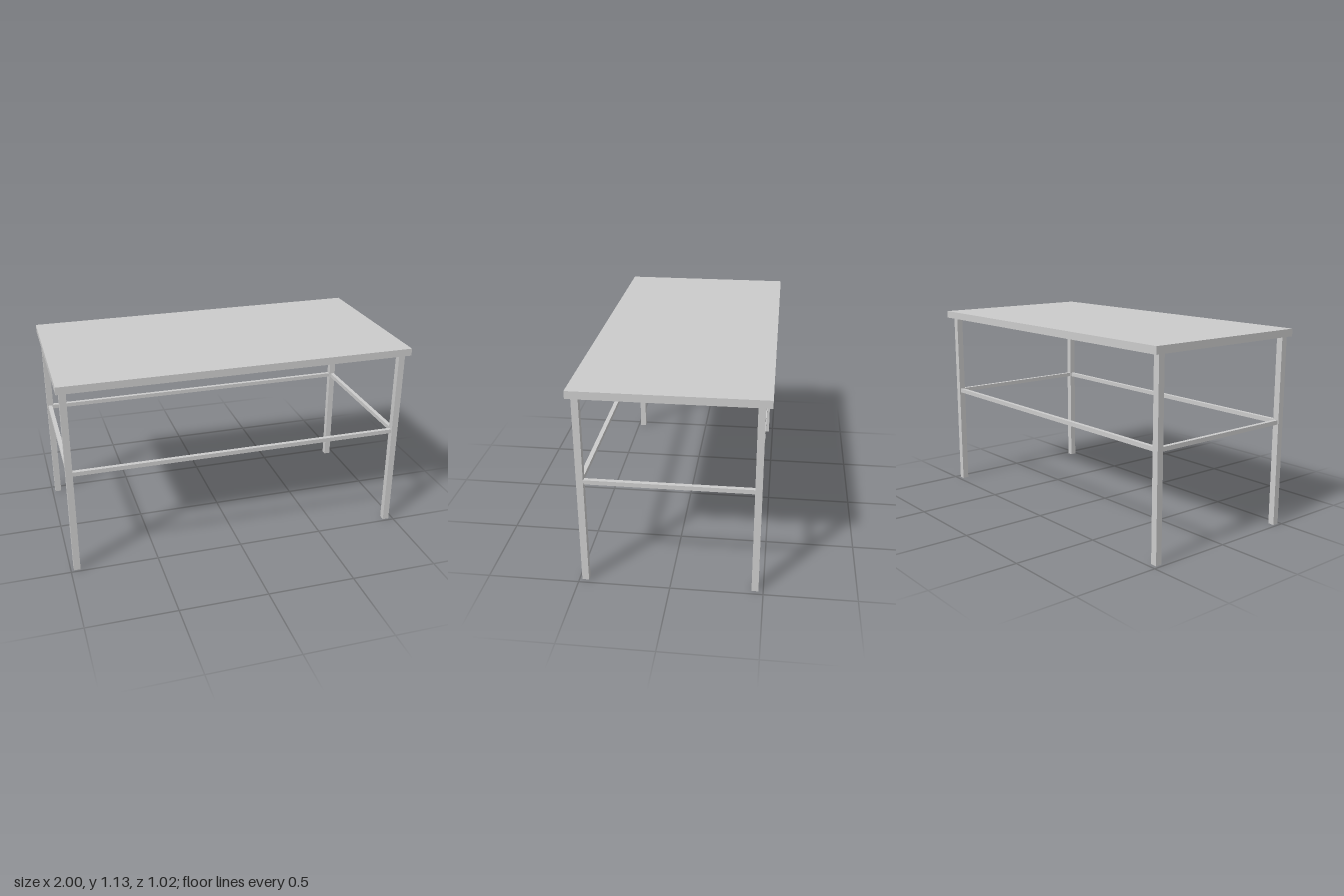
import * as THREE from 'three';

export function createModel() {
  const group = new THREE.Group();
  const material = new THREE.MeshStandardMaterial({ color: 0xcccccc });

  const addBox = (name, w, h, d, x, y, z) => {
    const mesh = new THREE.Mesh(new THREE.BoxGeometry(w, h, d), material);
    mesh.name = name;
    mesh.position.set(x, y, z);
    group.add(mesh);
  };

  const height = 1.132, topThickness = 0.042;
  const legHeight = height - topThickness, leg = 0.037;
  const rail = 0.024, railY = 0.607;

  // The frame sits slightly off the middle of the top
  const frameX = -0.004, frameZ = 0.005;
  const halfX = 0.96, halfZ = 0.461;

  // Table top
  addBox('tableTop', 2, topThickness, 1.018, 0, height - topThickness / 2, 0);

  // Square legs at the four corners
  for (const [side, sx] of [['Left', 1], ['Right', -1]]) {
    for (const [end, sz] of [['front', 1], ['back', -1]]) {
      addBox(`${end}${side}Leg`, leg, legHeight, leg,
        frameX + sx * halfX, legHeight / 2, frameZ + sz * halfZ);
    }
  }

  // Long rails between legs, front and back
  for (const [end, sz] of [['front', 1], ['back', -1]]) {
    addBox(`${end}Rail`, 2 * halfX - leg, rail, rail, frameX, railY, frameZ + sz * halfZ);
  }

  // Short rails between legs, left and right
  for (const [side, sx] of [['left', 1], ['right', -1]]) {
    addBox(`${side}Rail`, rail, rail, 2 * halfZ - leg, frameX + sx * halfX, railY, frameZ);
  }

  return group;
}
